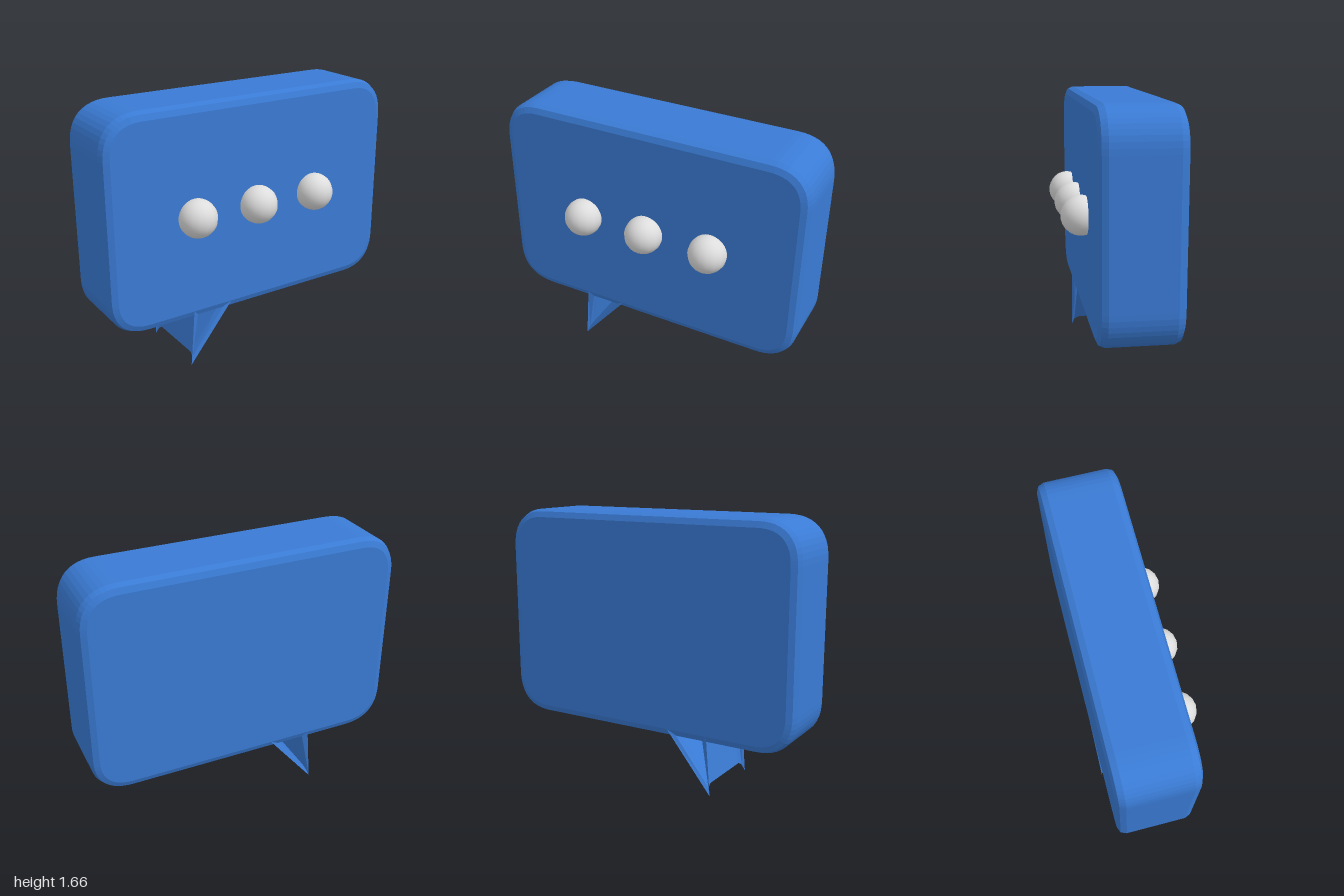
import * as THREE from 'three';

const BEVEL = 0.05, BACK = -0.265, FRONT = 0.115;

// Rounded rectangle with soft quadratic corners
function roundedRect(x0, y0, x1, y1, r) {
  const s = new THREE.Shape();
  s.moveTo(x0 + r, y0);
  s.lineTo(x1 - r, y0);
  s.quadraticCurveTo(x1, y0, x1, y0 + r);
  s.lineTo(x1, y1 - r);
  s.quadraticCurveTo(x1, y1, x1 - r, y1);
  s.lineTo(x0 + r, y1);
  s.quadraticCurveTo(x0, y1, x0, y1 - r);
  s.lineTo(x0, y0 + r);
  s.quadraticCurveTo(x0, y0, x0 + r, y0);
  return s;
}

// Open V-shaped shell: wide at both rims, narrower through the middle
function tailGeometry() {
  const rim = [[-0.18, 0.38], [-0.48, 0.01], [-0.45, 0.38]];
  const waist = [[-0.244, 0.35], [-0.457, 0.073], [-0.404, 0.33]];
  const rings = [];
  for (const [z, dir, steps] of [[FRONT, 1, [0, 0.5, 1]], [BACK, -1, [1, 0.5, 0]]]) {
    for (const t of steps) {
      const a = t * Math.PI / 2;
      rings.push(rim.map(([x, y], i) => [
        THREE.MathUtils.lerp(x, waist[i][0], Math.sin(a)),
        THREE.MathUtils.lerp(y, waist[i][1], Math.sin(a)),
        z + dir * BEVEL * Math.cos(a),
      ]));
    }
  }
  const pos = [];
  for (let r = 0; r < rings.length - 1; r++) {
    for (let i = 0; i < 2; i++) {
      const a = rings[r][i], b = rings[r][i + 1], c = rings[r + 1][i + 1], d = rings[r + 1][i];
      // wound so that the outer side of the V is the front
      pos.push(...a, ...b, ...d, ...b, ...c, ...d);
    }
  }
  const g = new THREE.BufferGeometry();
  g.setAttribute('position', new THREE.Float32BufferAttribute(pos, 3));
  g.computeVertexNormals();
  // flip if the diagonal wall faces the inside
  if (g.attributes.normal.getX(0) < 0) {
    const p = g.attributes.position;
    for (let i = 0; i < p.count; i += 3) {
      const v = [p.getX(i), p.getY(i), p.getZ(i)];
      p.setXYZ(i, p.getX(i + 1), p.getY(i + 1), p.getZ(i + 1));
      p.setXYZ(i + 1, ...v);
    }
    g.computeVertexNormals();
  }
  return g;
}

export function createModel() {
  const group = new THREE.Group();
  group.name = 'speechBubble';

  const blue = new THREE.MeshStandardMaterial({ color: 0x3a7bd5, side: THREE.DoubleSide });
  blue.name = 'bubbleBlue';
  const white = new THREE.MeshStandardMaterial({ color: 0xdddddd });
  white.name = 'dotWhite';

  // Bubble body
  const bodyGeo = new THREE.ExtrudeGeometry(roundedRect(-0.95, 0.38, 0.95, 1.622, 0.2), {
    depth: FRONT - BACK, bevelEnabled: true, bevelThickness: BEVEL, bevelSize: BEVEL,
    bevelSegments: 2, curveSegments: 12,
  });
  bodyGeo.translate(0, 0, BACK);
  const body = new THREE.Mesh(bodyGeo, blue);
  body.name = 'bubbleBody';
  group.add(body);

  // Pointed tail
  const tail = new THREE.Mesh(tailGeometry(), blue);
  tail.name = 'bubbleTail';
  group.add(tail);

  // Three dots
  const dotGeo = new THREE.SphereGeometry(0.119, 16, 16);
  ['rightDot', 'middleDot', 'leftDot'].forEach((name, i) => {
    const dot = new THREE.Mesh(dotGeo, white);
    dot.name = name;
    dot.position.set((i - 1) * 0.43, 1.002, 0.197);
    group.add(dot);
  });

  return group;
}
